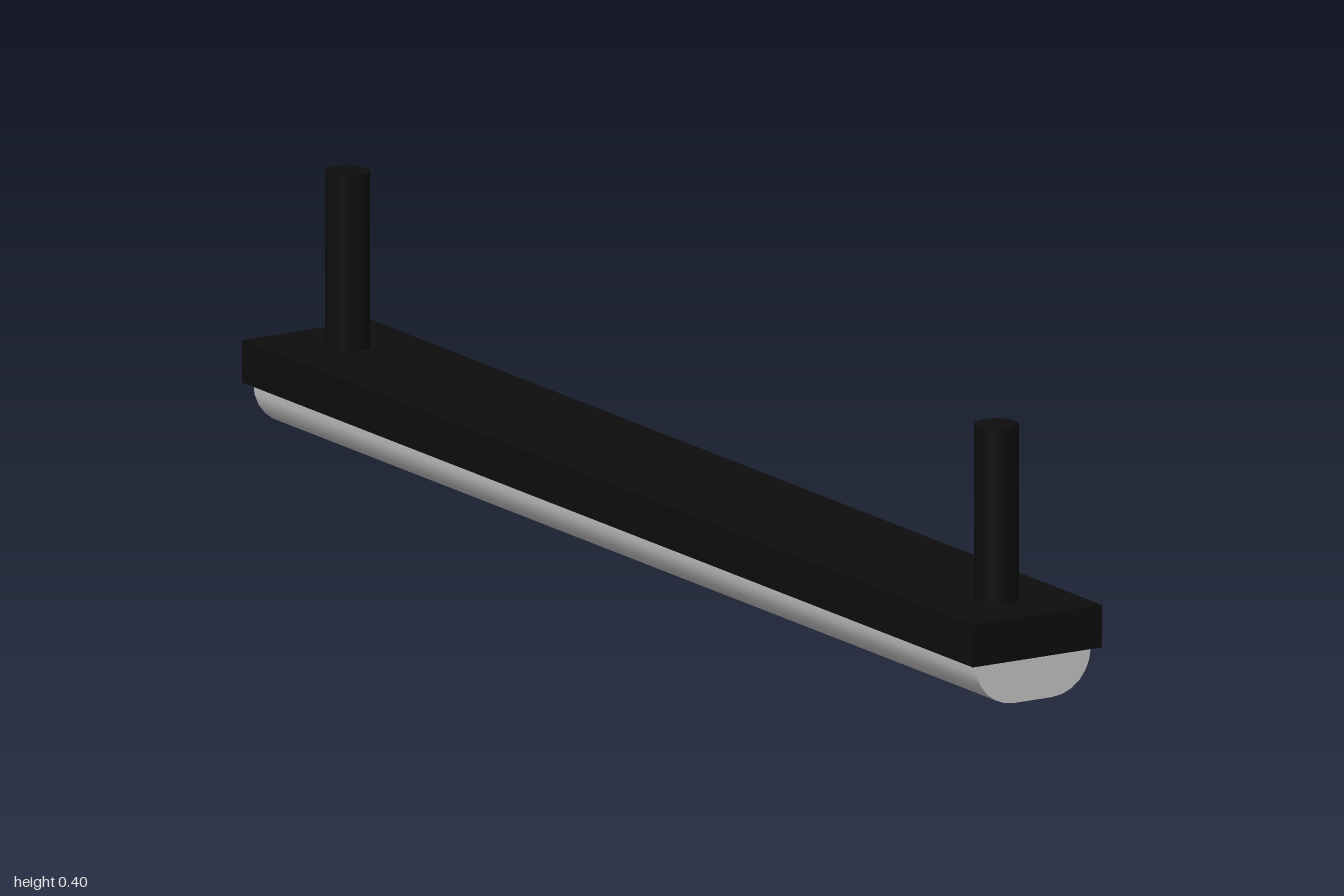
import * as THREE from 'three';
import { toCreasedNormals } from 'three/addons/utils/BufferGeometryUtils.js';

export function createModel() {
  const group = new THREE.Group();
  const black = new THREE.MeshStandardMaterial({ color: 0x0d0d0d });
  const grey = new THREE.MeshStandardMaterial({ color: 0xcccccc });

  const add = (name, geometry, material, y, z = 0) => {
    const mesh = new THREE.Mesh(geometry, material);
    mesh.name = name;
    mesh.position.set(0, y, z);
    group.add(mesh);
  };

  // Long flat housing
  const bottom = 0.067, top = 0.131, height = 0.396;
  add('housing', new THREE.BoxGeometry(0.224, top - bottom, 2), black, (top + bottom) / 2);

  // Light diffuser: flat underside with quarter-round sides
  const flat = 0.033, r = 0.066, length = 1.976;
  const profile = new THREE.Shape();
  profile.moveTo(flat + r, 0);
  profile.lineTo(-flat - r, 0);
  profile.absarc(-flat, 0, bottom, Math.PI, Math.PI * 1.5, false);
  profile.absarc(flat, 0, bottom, Math.PI * 1.5, Math.PI * 2, false);
  const diffuser = new THREE.ExtrudeGeometry(profile, { depth: length, bevelEnabled: false, curveSegments: 3 });
  diffuser.translate(0, 0, -length / 2);
  add('diffuser', toCreasedNormals(diffuser, Math.PI / 5), grey, bottom);

  // Hanging rods near both ends
  const rod = new THREE.CylinderGeometry(0.033, 0.033, height - top, 32);
  for (const [name, z] of [['frontRod', 0.888], ['backRod', -0.888]]) {
    add(name, rod, black, (height + top) / 2, z);
  }
  return group;
}
